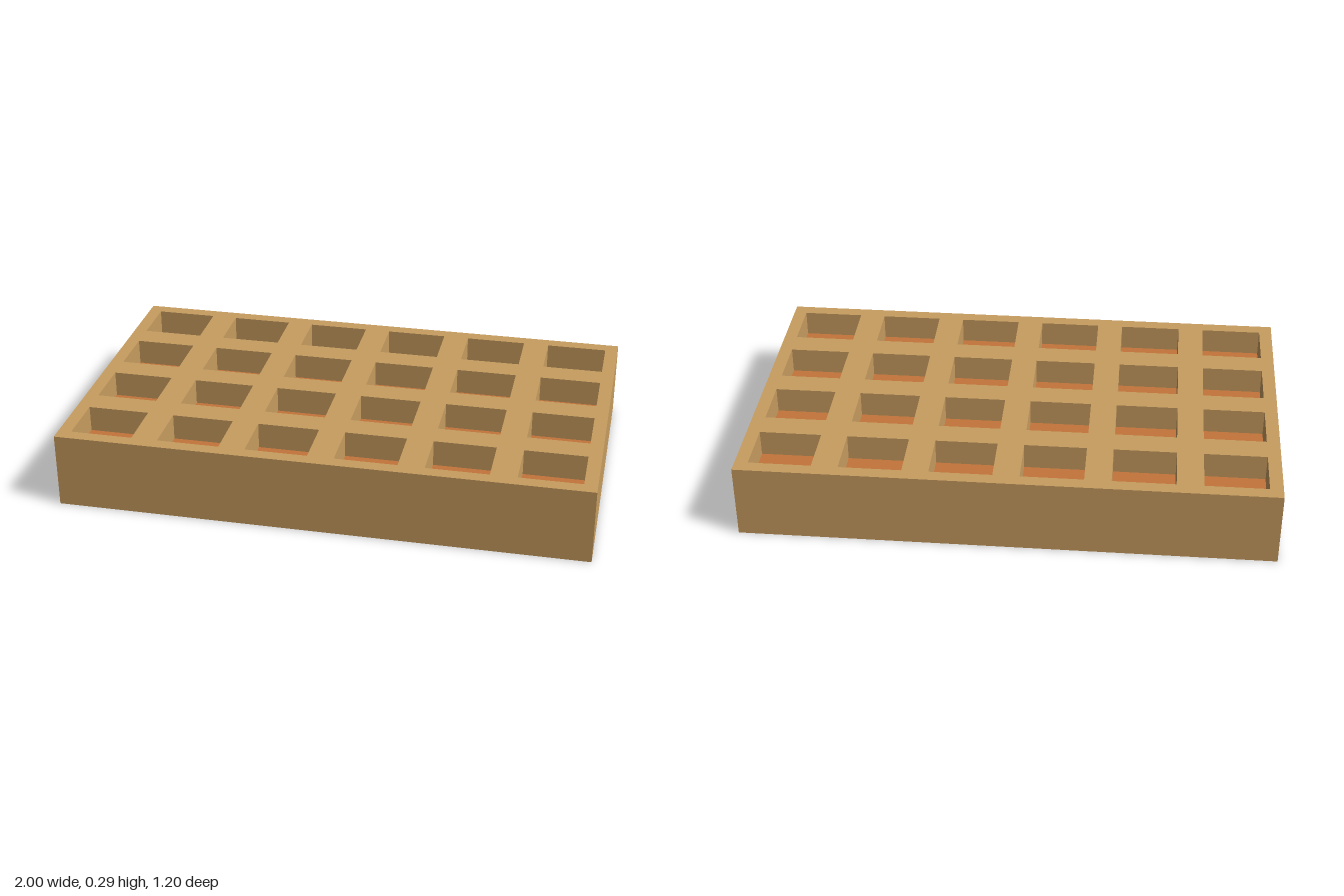
import * as THREE from 'three';

const WIDTH = 2, DEPTH = 1.2, HEIGHT = 0.288;
const COLS = 6, ROWS = 4;
const POCKET_W = 0.234, POCKET_D = 0.2, POCKET_DEPTH = 0.1;

// Adds a rectangle centred on (cx, cy) to a shape or path
function rect(path, cx, cy, w, h) {
  path.moveTo(cx - w / 2, cy - h / 2);
  path.lineTo(cx + w / 2, cy - h / 2);
  path.lineTo(cx + w / 2, cy + h / 2);
  path.lineTo(cx - w / 2, cy + h / 2);
  path.closePath();
  return path;
}

export function createModel() {
  const wood = new THREE.MeshStandardMaterial({ color: 0xc89d60 });
  wood.name = 'tanWood';
  const panel = new THREE.MeshStandardMaterial({ color: 0xc4743a });
  panel.name = 'orangePanel';

  const model = new THREE.Group();
  model.name = 'pocketedPanel';

  // Lattice frame: a block pierced by a regular grid of pockets
  const outline = rect(new THREE.Shape(), 0, 0, WIDTH, DEPTH);
  const centres = [];
  for (let c = 0; c < COLS; c++) {
    for (let r = 0; r < ROWS; r++) {
      const x = (c - (COLS - 1) / 2) * (WIDTH / COLS);
      const z = (r - (ROWS - 1) / 2) * (DEPTH / ROWS);
      centres.push([x, z]);
      outline.holes.push(rect(new THREE.Path(), x, z, POCKET_W, POCKET_D));
    }
  }
  const frameGeometry = new THREE.ExtrudeGeometry(outline, { depth: HEIGHT, bevelEnabled: false });
  frameGeometry.rotateX(-Math.PI / 2);
  const frame = new THREE.Mesh(frameGeometry, wood);
  frame.name = 'latticeFrame';
  model.add(frame);

  // Inset panels close each pocket halfway, leaving recesses above and below
  const insets = new THREE.Group();
  insets.name = 'insetPanels';
  const insetGeometry = new THREE.BoxGeometry(POCKET_W, HEIGHT - 2 * POCKET_DEPTH, POCKET_D);
  for (const [x, z] of centres) {
    const inset = new THREE.Mesh(insetGeometry, panel);
    inset.name = 'insetPanel';
    inset.position.set(x, HEIGHT / 2, z);
    insets.add(inset);
  }
  model.add(insets);

  return model;
}
